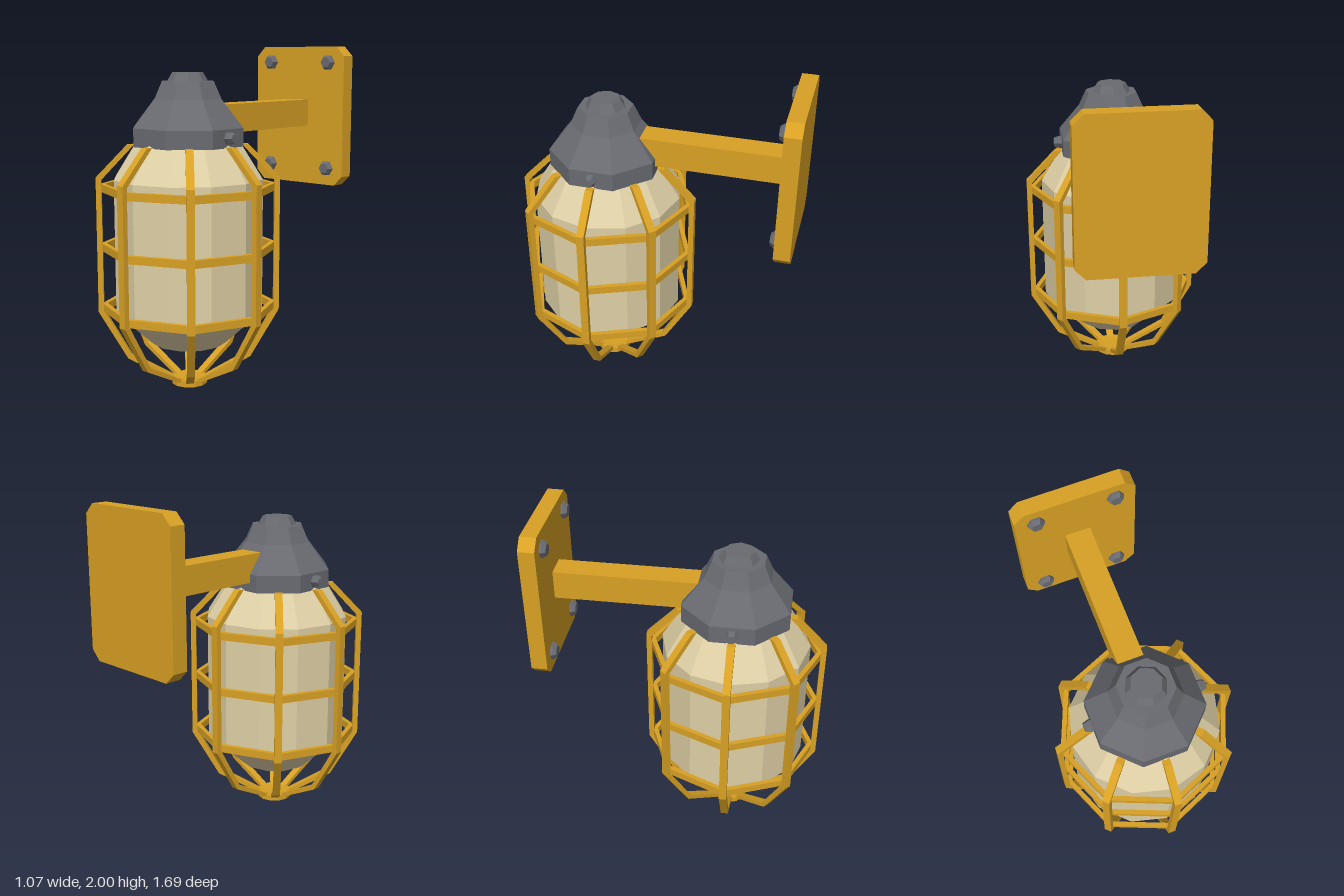
import * as THREE from 'three';

const mat = (name, color) => {
  const m = new THREE.MeshStandardMaterial({ color, flatShading: true });
  m.name = name;
  return m;
};

export function createModel() {
  const gold = mat('ochre paint', 0xd8a124);
  const grey = mat('dark grey metal', 0x696b71);
  const cream = mat('cream glass', 0xdfd0a6);
  const model = new THREE.Group();
  model.name = 'cagedWallLamp';

  const add = (parent, name, geometry, material) => {
    const mesh = new THREE.Mesh(geometry, material);
    mesh.name = name;
    parent.add(mesh);
    return mesh;
  };
  const v2 = (pts) => pts.map(([x, y]) => new THREE.Vector2(x, y));
  const lathe = (pts, sides) => new THREE.LatheGeometry(v2(pts), sides);

  // Wall plate with clipped corners
  const w = 0.35, y0 = 1.11, y1 = 2, c = 0.06;
  const plateShape = new THREE.Shape(v2([
    [-w + c, y0], [w - c, y0], [w, y0 + c], [w, y1 - c],
    [w - c, y1], [-w + c, y1], [-w, y1 - c], [-w, y0 + c],
  ]));
  const plate = new THREE.ExtrudeGeometry(plateShape, { depth: 0.095, bevelEnabled: false });
  add(model, 'wallPlate', plate, gold).position.z = -0.845;

  // Arm from the plate into the cap
  add(model, 'arm', new THREE.BoxGeometry(0.15, 0.17, 0.91), gold).position.set(0, 1.575, -0.3);

  // Hexagonal bolts, made along +y and then turned
  const bolt = (r, h) => lathe([[0, 0], [r, 0], [r, h * 0.4], [r * 0.7, h], [0, h]], 6);
  for (const x of [-0.23, 0.23]) {
    for (const y of [1.22, 1.9]) {
      const b = add(model, 'plateBolt', bolt(0.05, 0.037), grey);
      b.geometry.rotateY(Math.PI / 6);
      b.rotation.x = Math.PI / 2;
      b.position.set(x, y, -0.752);
    }
  }

  // Lamp body, all round one upright axis
  const lamp = new THREE.Group();
  lamp.name = 'lamp';
  lamp.position.z = 0.31;
  model.add(lamp);

  add(lamp, 'glass', lathe([[0, 0.26], [0.222, 0.26], [0.44, 0.46], [0.44, 1.245], [0.31, 1.45], [0, 1.45]], 12), cream);

  // Eight-sided cap with a flat towards the front
  const k = 1 / Math.cos(Math.PI / 8);
  const cap = [[0, 1.435], [0.31, 1.435], [0.31, 1.54], [0.19, 1.7], [0.147, 1.8], [0, 1.8]]
    .map(([r, y]) => [r * k, y]);
  add(lamp, 'cap', lathe(cap, 8), grey).rotation.y = Math.PI / 8;
  add(lamp, 'capButton', lathe([[0.12, 1.795], [0.088, 1.85], [0, 1.85]], 8), grey);

  for (const s of [-1, 1]) {
    const b = add(lamp, 'capBolt', bolt(0.038, 0.055), grey);
    b.rotation.z = -s * Math.PI / 2;
    b.position.set(s * 0.302, 1.49, 0);
  }

  // Cage: eight bent bars
  const barShape = new THREE.Shape(v2([
    [0.06, 0.01], [0.11, 0.025], [0.365, 0.158], [0.535, 0.45], [0.535, 1.248], [0.35, 1.44],
    [0.31, 1.44], [0.503, 1.235], [0.503, 0.46], [0.342, 0.178], [0.09, 0.04], [0.06, 0.035],
  ]));
  const bar = new THREE.ExtrudeGeometry(barShape, { depth: 0.045, bevelEnabled: false });
  bar.translate(0, 0, -0.0225);
  for (let i = 0; i < 8; i++) add(lamp, 'cageBar', bar, gold).rotation.y = i * Math.PI / 4;

  // Cage: three hoops and the bottom disc
  const h = 0.0225;
  const hoop = lathe([[0.512, -h], [0.512, h], [0.482, h], [0.482, -h], [0.512, -h]], 8);
  for (const y of [0.475, 0.838, 1.188]) add(lamp, 'cageHoop', hoop, gold).position.y = y;
  add(lamp, 'cageDisc', lathe([[0, 0], [0.108, 0], [0.108, 0.036], [0, 0.036]], 12), gold);

  return model;
}
